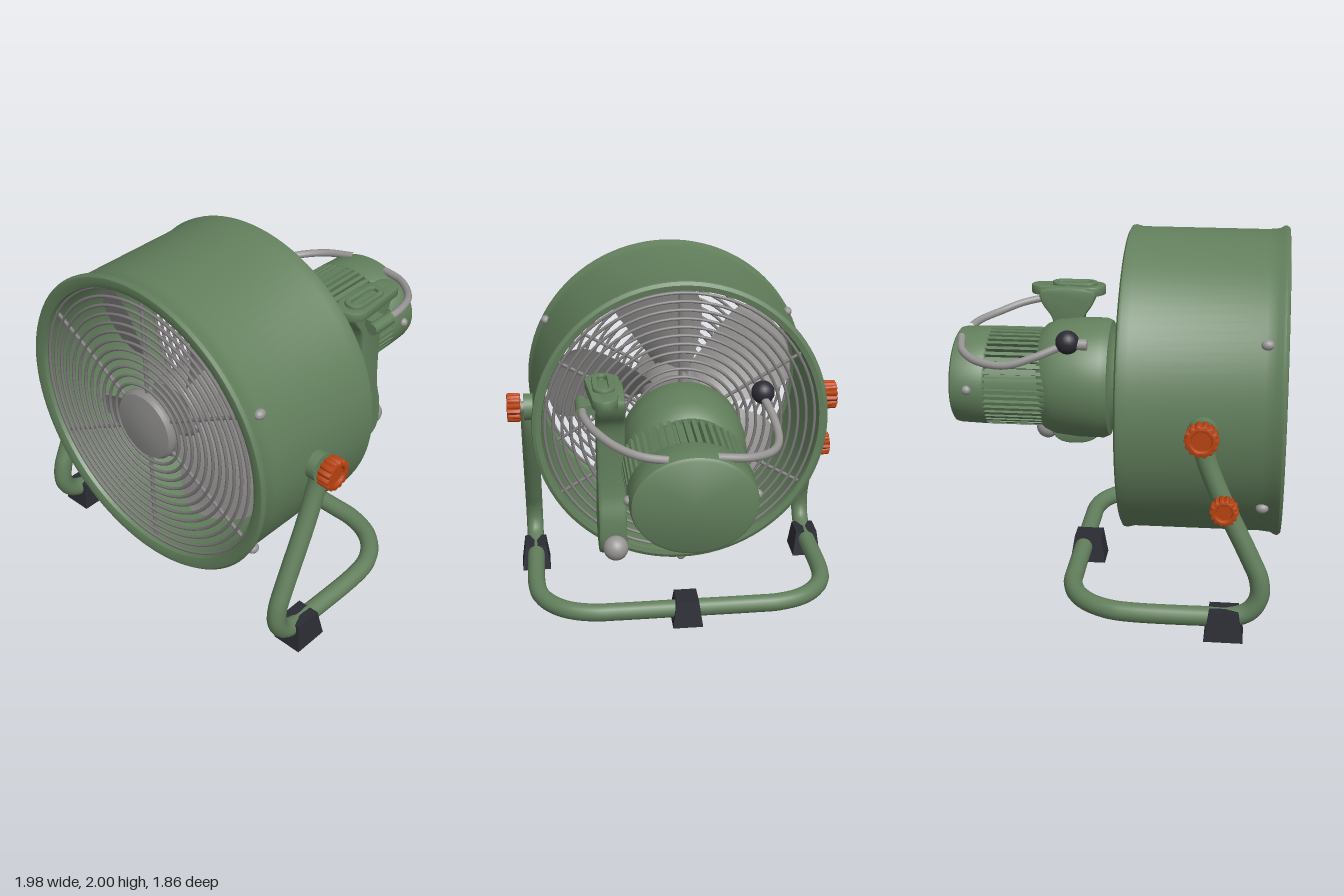
import * as THREE from 'three';
import { mergeGeometries, toCreasedNormals } from 'three/addons/utils/BufferGeometryUtils.js';

const CY = 1.14; // height of the fan axis

export function createModel() {
  const root = new THREE.Group();
  root.name = 'industrialFan';
  const mat = (name, color, side = THREE.FrontSide) => {
    const m = new THREE.MeshStandardMaterial({ color, side });
    m.name = name;
    return m;
  };
  const green = mat('greenPaint', 0x627f5c);
  const steel = mat('greySteel', 0x8c8b8a, THREE.DoubleSide);
  const wire = mat('grilleWire', 0x7f7c7c);
  const cableGrey = mat('cableGrey', 0x979694);
  const rubber = mat('blackRubber', 0x2b2b34);
  const orange = mat('orangePlastic', 0xb84310);

  const add = (name, geo, material, x = 0, y = 0, z = 0) => {
    const m = new THREE.Mesh(geo, material);
    m.name = name;
    m.position.set(x, y, z);
    root.add(m);
    return m;
  };
  const v3 = (a) => new THREE.Vector3(...a);
  // solid turned about the z axis; profile of [radius, z] running to +z on the outside
  const turned = (profile, segs = 64) => toCreasedNormals(
    new THREE.LatheGeometry(profile.map((p) => new THREE.Vector2(...p)), segs).rotateX(Math.PI / 2), 0.6);
  const tube = (pts, r, segs = 60, sides = 12) =>
    new THREE.TubeGeometry(new THREE.CatmullRomCurve3(pts.map(v3), false, 'centripetal'), segs, r, sides);

  // Drum with rolled rims
  add('drum', turned([
    [0.795, 0.05], [0.825, 0.045], [0.845, 0.055], [0.848, 0.07], [0.838, 0.11], [0.836, 0.8],
    [0.842, 0.86], [0.856, 0.885], [0.858, 0.9], [0.845, 0.915], [0.815, 0.918], [0.785, 0.905],
    [0.778, 0.885], [0.8, 0.86], [0.805, 0.12], [0.79, 0.07], [0.795, 0.05],
  ], 96), green, 0, CY, 0);

  // Wire guards, front and back
  const guard = (z, zSpoke) => {
    const parts = [];
    for (let i = 0; i < 12; i++) {
      parts.push(new THREE.TorusGeometry(0.235 + i * 0.049, 0.009, 6, 72).translate(0, 0, z));
    }
    for (let i = 0; i < 6; i++) {
      parts.push(new THREE.CylinderGeometry(0.011, 0.011, 0.64, 8)
        .translate(0, 0.48, zSpoke).rotateZ(i * Math.PI / 3));
    }
    return mergeGeometries(parts);
  };
  add('frontGuard', guard(0.875, 0.862), wire, 0, CY, 0);
  add('rearGuard', guard(0.08, 0.094), wire, 0, CY, 0);
  add('frontHubDisc', turned([[0, 0.84], [0.19, 0.84], [0.2, 0.855], [0.2, 0.88], [0.185, 0.9],
    [0.1, 0.915], [0, 0.92]]), steel, 0, CY, 0);

  // Rotor
  add('rotorHub', turned([[0, 0.42], [0.17, 0.42], [0.18, 0.44], [0.18, 0.66], [0.15, 0.7], [0, 0.7]]),
    steel, 0, CY, 0);
  add('motorShaft', new THREE.CylinderGeometry(0.07, 0.07, 0.42, 24).rotateX(Math.PI / 2),
    green, 0, CY, 0.24);
  for (let b = 0; b < 5; b++) {
    const geo = new THREE.PlaneGeometry(1, 1, 12, 16);
    const p = geo.attributes.position;
    for (let i = 0; i < p.count; i++) {
      const v = p.getX(i) * 2, u = p.getY(i) + 0.5;
      const r = 0.15 + 0.6 * u - 0.05 * v * v * u;
      const half = 0.5 - 0.06 * u - 0.1 * u ** 8;
      const a = 1.53 + b * Math.PI * 0.4 - 0.14 * u - v * half;
      p.setXYZ(i, Math.cos(a) * r, Math.sin(a) * r, 0.56 + v * 0.13 * (1 - 0.3 * u));
    }
    geo.computeVertexNormals();
    add('blade', geo, steel, 0, CY, 0);
  }

  // Motor: bell housing, finned barrel and end cap
  add('motorHousing', turned([
    [0, -0.45], [0.27, -0.45], [0.3, -0.42], [0.325, -0.36], [0.34, -0.22], [0.34, -0.09], [0.325, -0.055],
    [0.27, -0.045], [0.235, -0.015], [0.215, 0.03], [0.235, 0.06], [0.235, 0.1], [0, 0.1],
  ]), green, 0.015, 1.12, 0);
  const barrel = add('motorBarrel', turned([
    [0, -0.935], [0.25, -0.935], [0.265, -0.925], [0.27, -0.9], [0.275, -0.75], [0.27, -0.74],
    [0.247, -0.735], [0.25, -0.38], [0, -0.38],
  ]), green, 0.04, 1.11, 0);
  barrel.scale.x = 1.22;
  const fins = [];
  for (let i = 0; i < 48; i++) {
    fins.push(new THREE.BoxGeometry(0.018, 0.04, 0.38)
      .translate(0, 0.255, -0.555).rotateZ(i * Math.PI / 24));
  }
  add('coolingFins', mergeGeometries(fins), green, 0.04, 1.11, 0).scale.x = 1.22;

  // Terminal bracket on the motor's left side, outline in (-z, y)
  const outline = [[0.17, 0.8], [0.18, 0.66], [0.25, 0.61], [0.4, 0.61], [0.45, 0.66], [0.455, 0.82],
    [0.425, 0.95], [0.42, 1.2], [0.44, 1.37], [0.5, 1.46], [0.51, 1.52], [0.21, 1.52], [0.22, 1.46],
    [0.275, 1.37], [0.285, 1.2], [0.27, 0.95], [0.2, 0.86]];
  const arm = new THREE.Shape(new THREE.CatmullRomCurve3(
    outline.map(([a, b]) => new THREE.Vector3(a, b, 0)), true, 'centripetal')
    .getPoints(68).slice(0, -1).map((q) => new THREE.Vector2(q.x, q.y)));
  const armGeo = new THREE.ExtrudeGeometry(arm,
    { depth: 0.11, bevelSize: 0.012, bevelThickness: 0.02, bevelSegments: 3 });
  add('terminalBracket', toCreasedNormals(armGeo.rotateY(Math.PI / 2), 0.6), green, 0.375, 0, 0);

  // Slotted top plate of the bracket
  const stadium = (S, y0, r0, y1, r1) => {
    const s = new S();
    s.absarc(0, y0, r0, Math.PI, Math.PI * 2, false);
    s.absarc(0, y1, r1, 0, Math.PI, false);
    s.closePath();
    return s;
  };
  const slotted = (y0, r0, y1, r1, depth) => {
    const s = stadium(THREE.Shape, y0, r0, y1, r1);
    s.holes.push(stadium(THREE.Path, 0.25, 0.033, 0.4, 0.033));
    return toCreasedNormals(new THREE.ExtrudeGeometry(s, { depth, bevelSize: 0.008,
      bevelThickness: 0.008, bevelSegments: 2, curveSegments: 16 }).rotateX(-Math.PI / 2), 0.6);
  };
  add('bracketTopPlate', slotted(0.235, 0.085, 0.515, 0.06, 0.04), green, 0.46, 1.505, 0);
  add('bracketSlotRim', slotted(0.25, 0.05, 0.4, 0.05, 0.012), green, 0.46, 1.552, 0);
  add('cableGland', new THREE.CylinderGeometry(0.034, 0.034, 0.16, 16).rotateX(Math.PI / 2),
    green, 0.575, 1.435, -0.335);
  add('glandMount', new THREE.BoxGeometry(0.08, 0.05, 0.1), green, 0.53, 1.435, -0.335);
  add('bracketPlug', new THREE.SphereGeometry(0.068, 24, 16), cableGrey, 0.42, 0.67, -0.495);
  add('plugNeck', new THREE.CylinderGeometry(0.05, 0.05, 0.1, 20).rotateX(Math.PI / 2),
    cableGrey, 0.42, 0.67, -0.44);

  // Cables
  add('leftCable', tube([[0.575, 1.44, -0.38], [0.57, 1.44, -0.5], [0.52, 1.42, -0.64],
    [0.42, 1.385, -0.77], [0.3, 1.365, -0.86], [0.17, 1.355, -0.895]], 0.022), cableGrey);
  add('rightCable', tube([[-0.41, 1.43, -0.15], [-0.41, 1.42, -0.26], [-0.44, 1.36, -0.42],
    [-0.44, 1.31, -0.58], [-0.38, 1.31, -0.74], [-0.25, 1.33, -0.85], [-0.07, 1.36, -0.895]], 0.022), cableGrey);
  add('cableEndKnob', new THREE.SphereGeometry(0.064, 20, 14), rubber, -0.41, 1.44, -0.245);
  add('cableStub', new THREE.CylinderGeometry(0.03, 0.03, 0.06, 14).rotateX(Math.PI / 2),
    cableGrey, -0.41, 1.43, -0.17);

  // Bent tube stand, one half mirrored to close the loop
  const half = [[0.86, 1.12, 0.5], [0.86, 1.0, 0.515], [0.86, 0.8, 0.59], [0.86, 0.45, 0.755],
    [0.86, 0.33, 0.805], [0.86, 0.23, 0.81], [0.86, 0.15, 0.765], [0.86, 0.11, 0.68], [0.86, 0.105, 0.55],
    [0.86, 0.105, 0.15], [0.84, 0.105, 0.03], [0.78, 0.105, -0.08], [0.68, 0.105, -0.165],
    [0.54, 0.105, -0.21], [0.4, 0.105, -0.215], [0, 0.105, -0.215]];
  const mirrored = half.slice(0, -1).reverse().map(([x, y, z]) => [-x, y, z]);
  add('standTube', tube([...half, ...mirrored], 0.052, 240, 16), green);

  // Fluted knob with a dished face, pointing along +x
  const knob = (r) => {
    const pts = [];
    for (let i = 0; i < 96; i++) {
      const a = i * Math.PI / 48, rr = r - 0.012 + 0.006 * Math.cos(a * 14);
      pts.push(new THREE.Vector2(Math.cos(a) * rr, Math.sin(a) * rr));
    }
    const s = new THREE.Shape(pts);
    s.holes.push(new THREE.Path().absarc(0, 0, r * 0.68, 0, Math.PI * 2, true));
    const ring = new THREE.ExtrudeGeometry(s, { depth: 0.062, bevelSize: 0.008, bevelThickness: 0.009,
      bevelSegments: 2, curveSegments: 24 }).toNonIndexed?.() ?? null;
    const dish = new THREE.CylinderGeometry(r * 0.7, r * 0.7, 0.05, 32).rotateX(Math.PI / 2)
      .translate(0, 0, 0.027).toNonIndexed();
    return toCreasedNormals(mergeGeometries([ring, dish]), 0.6).rotateY(Math.PI / 2);
  };
  const placeKnob = (name, side, r, y, z) => {
    const k = add(name, knob(r), orange, side * 0.918, y, z);
    k.rotation.y = side > 0 ? 0 : Math.PI;
  };
  for (const side of [1, -1]) {
    const tag = side > 0 ? 'left' : 'right';
    add(tag + 'PivotPlate', new THREE.CylinderGeometry(0.08, 0.08, 0.06, 32).rotateZ(Math.PI / 2),
      green, side * 0.86, 1.115, 0.5);
    add(tag + 'PivotPin', new THREE.CylinderGeometry(0.035, 0.035, 0.12, 16).rotateZ(Math.PI / 2),
      steel, side * 0.87, 1.115, 0.5);
    placeKnob(tag + 'PivotKnob', side, 0.085, 1.115, 0.5);
  }
  placeKnob('lowerKnob', -1, 0.07, 0.74, 0.62);

  // Rubber feet, tapering upwards
  for (const [x, y, z] of [[0.86, 0, 0.63], [-0.86, 0, 0.63], [0, 0.015, -0.19]]) {
    const foot = new THREE.CylinderGeometry(0.093, 0.123, 0.155, 4, 1).rotateY(Math.PI / 4)
      .scale(1, 1, 1.17);
    add('foot', toCreasedNormals(foot, 0.4), rubber, x, y + 0.0775, z);
  }

  // Bolt heads around the drum and on the motor cap
  const bolt = (name, x, y, z) => add(name, new THREE.SphereGeometry(0.027, 14, 10), cableGrey, x, y, z);
  for (const deg of [29, 151, -35, 215]) {
    const a = deg * Math.PI / 180;
    bolt('drumBolt', Math.cos(a) * 0.845, CY + Math.sin(a) * 0.845, 0.81).scale.z = 1.25;
  }
  bolt('lowerDrumBolt', 0, CY - 0.85, 0.09);
  bolt('capBolt', 0.37, 1.115, -0.83);
  bolt('capBolt', -0.29, 1.115, -0.83);

  return root;
}
